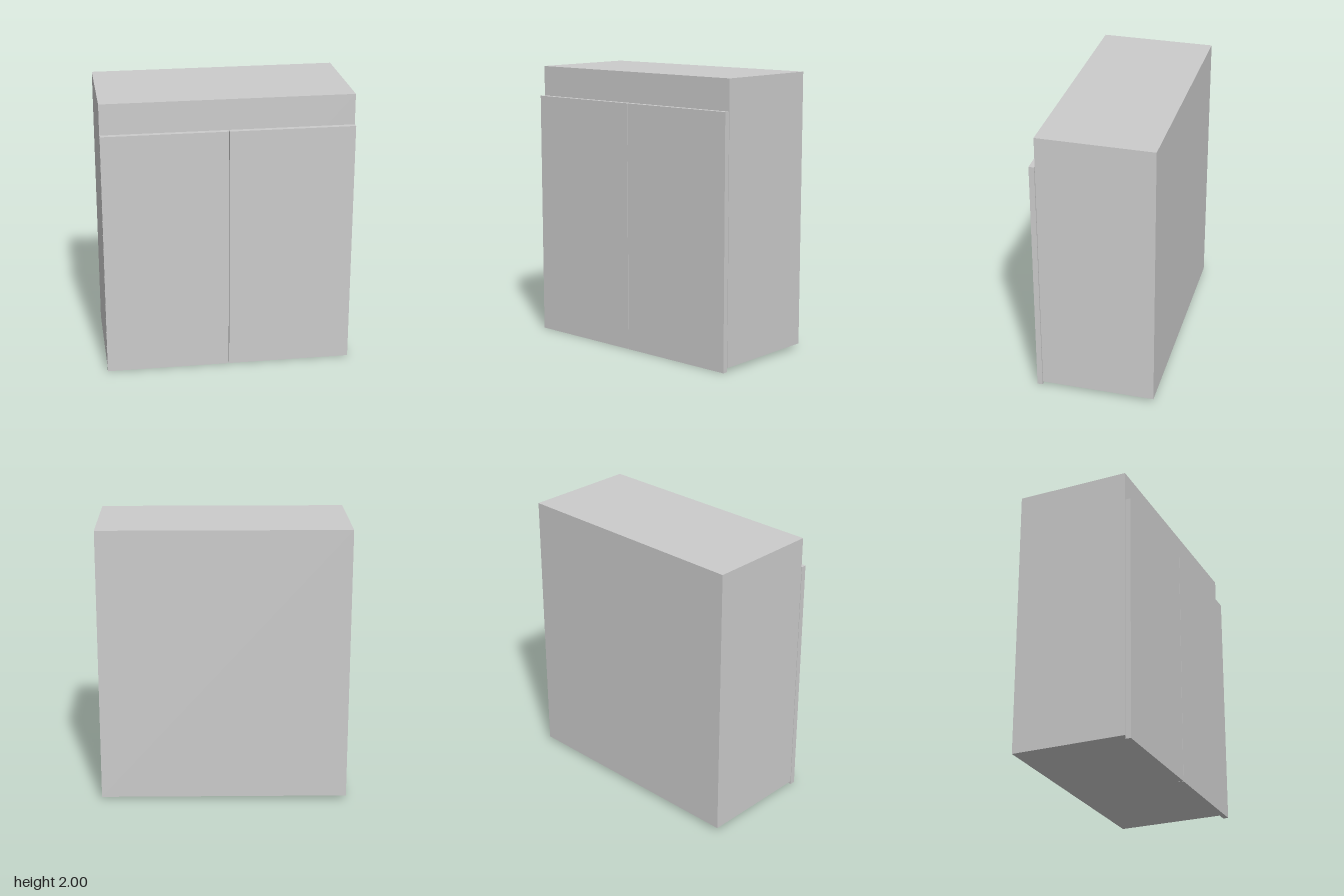
import * as THREE from 'three';

const HALF_WIDTH = 0.886;
const BACK = -0.431;
const FRONT = 0.431;
const DOOR_DEPTH = 0.043;
const SEAM = 0.004; // gap between the doors, and between doors and carcass

const material = new THREE.MeshStandardMaterial({ color: 0xcccccc });

// Box given by its two opposite corners
function box(name, [x0, y0, z0], [x1, y1, z1]) {
  const mesh = new THREE.Mesh(new THREE.BoxGeometry(x1 - x0, y1 - y0, z1 - z0), material);
  mesh.position.set((x0 + x1) / 2, (y0 + y1) / 2, (z0 + z1) / 2);
  mesh.name = name;
  return mesh;
}

export function createModel() {
  const cabinet = new THREE.Group();
  cabinet.name = 'cabinet';

  // Carcass, standing slightly above the lower edge of the doors
  const bodyFront = FRONT - DOOR_DEPTH;
  cabinet.add(box('cabinetBody', [-HALF_WIDTH, 0.027, BACK], [HALF_WIDTH, 2, bodyFront]));

  // Pair of flat doors, leaving a plain band above them
  const doorBack = bodyFront + SEAM;
  const inner = SEAM / 2;
  cabinet.add(
    box('leftDoor', [inner, 0, doorBack], [HALF_WIDTH, 1.782, FRONT]),
    box('rightDoor', [-HALF_WIDTH, 0, doorBack], [-inner, 1.782, FRONT]),
  );

  return cabinet;
}
